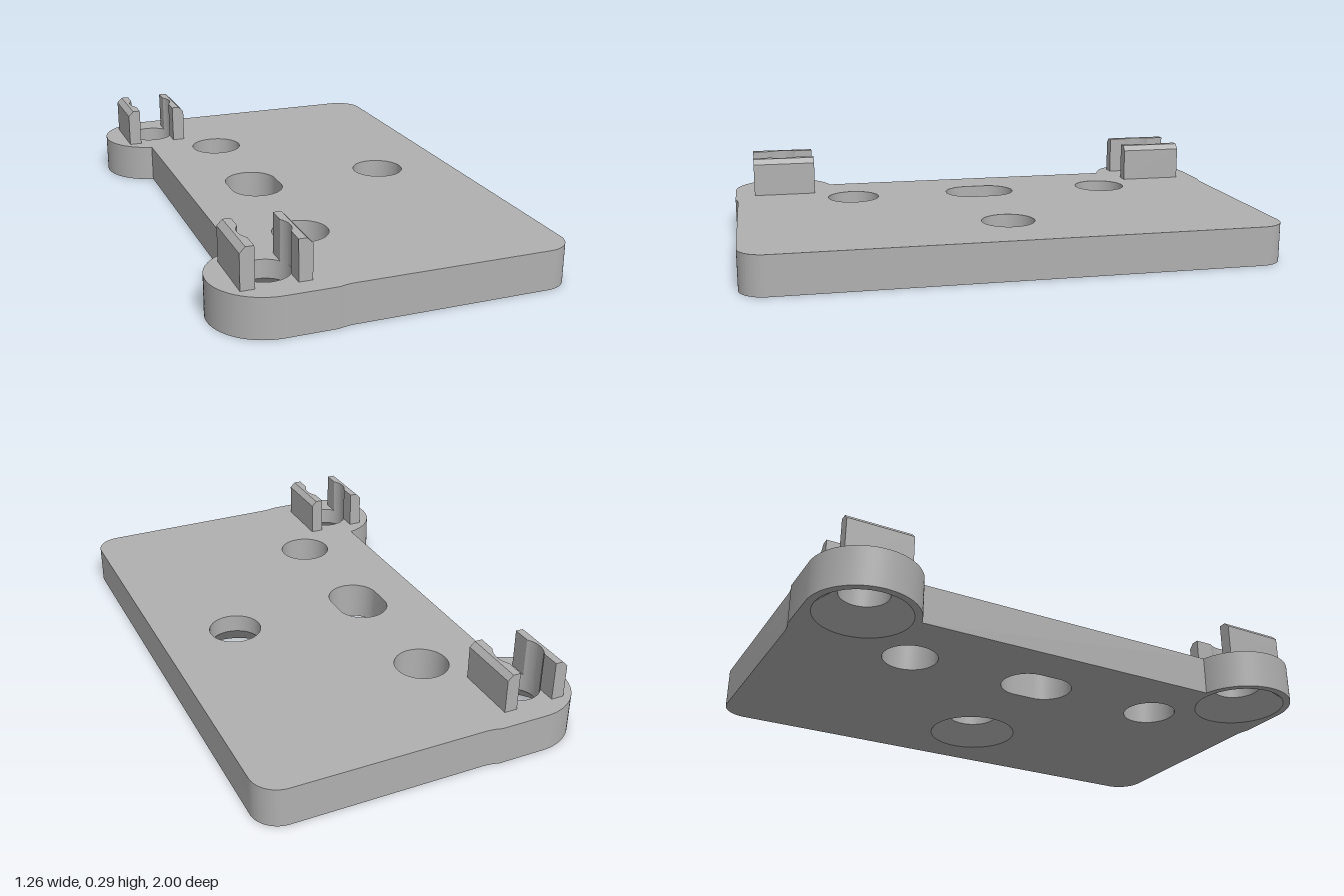
import * as THREE from 'three';
import { toCreasedNormals } from 'three/addons/utils/BufferGeometryUtils.js';

const H = 0.147;         // plate thickness
const CLIP_TOP = 0.295;
const BOSS = { x: -0.432, z: 0.8, r: 0.2, hole: 0.09 };

// Wall through closed outlines stacked in height; counter-clockwise outlines face outward
function loft(rings) {
  const pos = [], n = rings[0].pts.length;
  const put = (ring, i) => { const p = ring.pts[i % n]; pos.push(p.x, ring.y, -p.y); };
  for (let k = 0; k + 1 < rings.length; k++) {
    const a = rings[k], b = rings[k + 1];
    for (let i = 0; i < n; i++) {
      put(a, i); put(a, i + 1); put(b, i + 1);
      put(a, i); put(b, i + 1); put(b, i);
    }
  }
  const geo = new THREE.BufferGeometry();
  geo.setAttribute('position', new THREE.Float32BufferAttribute(pos, 3));
  return toCreasedNormals(geo, 0.5);
}

// Flat face with holes, turned up or down
function cap(pts, holes, y, up) {
  const shape = new THREE.Shape(pts);
  shape.holes = holes.map(h => new THREE.Path(h));
  const geo = new THREE.ShapeGeometry(shape);
  if (up) geo.rotateX(-Math.PI / 2);
  else geo.scale(1, -1, 1).rotateX(Math.PI / 2), flip(geo);
  return geo.translate(0, y, 0);
}

// Reverse the corner order after a mirrored scale
function flip(geo) {
  geo.setIndex(Array.from(geo.index.array).reverse());
  geo.computeVertexNormals();
}

// Points of a path without the repeated closing point
function outline(path, segments) {
  const pts = path.getPoints(segments);
  if (pts[0].distanceTo(pts[pts.length - 1]) < 1e-5) pts.pop();
  return pts;
}

// Round or slotted hole outline; half is the straight half length along z
function holePts(x, y, r, half = 0) {
  const pts = [], n = 48;
  for (let i = 0; i < n; i++) {
    const a = (i + 0.5) / n * Math.PI * 2;
    pts.push(new THREE.Vector2(x + r * Math.cos(a), y + r * Math.sin(a) + Math.sign(Math.sin(a)) * half));
  }
  return pts;
}

function plateOutline() {
  const s = new THREE.Shape(), P = Math.PI, { x, z, r } = BOSS;
  const a = Math.asin(0.043 / r);
  s.moveTo(0.53, -0.99);
  s.absarc(0.53, -0.89, 0.1, -P / 2, 0, false);
  s.absarc(0.53, 0.89, 0.1, 0, P / 2, false);
  s.lineTo(-0.19, 0.99);
  s.quadraticCurveTo(-0.22, 0.99, -0.25, 1);
  s.absarc(x, z, r, P / 2, 1.5 * P - a, false);
  s.absarc(x, -z, r, P / 2 + a, 1.5 * P, false);
  s.lineTo(-0.25, -1);
  s.quadraticCurveTo(-0.22, -0.99, -0.19, -0.99);
  return outline(s, 20);
}

export function createModel() {
  const group = new THREE.Group();
  const grey = new THREE.MeshStandardMaterial({ color: 0xb0b0b0 });
  grey.name = 'grey plastic';
  const add = (parent, name, geo) => {
    const mesh = new THREE.Mesh(geo, grey);
    mesh.name = name;
    parent.add(mesh);
  };

  // Holes: sink is the radius of the countersink on the underside
  const holes = [
    { name: 'frontScrewHole', x: -0.205, y: -0.527, r: 0.102 },
    { name: 'rearScrewHole', x: -0.205, y: 0.527, r: 0.102 },
    { name: 'slotHole', x: -0.205, y: 0, r: 0.101, half: 0.039 },
    { name: 'countersunkHole', x: 0.332, y: 0, r: 0.1, sink: 0.173 },
    { name: 'frontBossHole', x: BOSS.x, y: -BOSS.z, r: BOSS.hole, sink: 0.173 },
    { name: 'rearBossHole', x: BOSS.x, y: BOSS.z, r: BOSS.hole, sink: 0.173 },
  ];
  const upper = holes.map(h => holePts(h.x, h.y, h.r, h.half));
  const lower = holes.map(h => holePts(h.x, h.y, h.sink ?? h.r, h.half));

  // Plate
  const edge = plateOutline();
  add(group, 'plateTop', cap(edge, upper, H, true));
  add(group, 'plateBottom', cap(edge, lower, 0, false));
  add(group, 'plateEdge', loft([{ pts: edge, y: 0 }, { pts: edge, y: H }]));
  holes.forEach((h, i) => {
    const up = upper[i].slice().reverse(), low = lower[i].slice().reverse();
    const rings = [{ pts: low, y: 0 }];
    if (h.sink) rings.push({ pts: up, y: 0.078 });
    rings.push({ pts: up, y: H });
    add(group, h.name, loft(rings));
  });

  // Clip wall: inner face scooped by the hole, outer top edge chamfered
  const inner = 0.073, outer = 0.122, half = 0.123;
  const scoop = Math.acos(inner / BOSS.hole);
  const foot = new THREE.Shape();
  foot.moveTo(inner, -half);
  foot.lineTo(outer, -half);
  foot.lineTo(outer, half);
  foot.lineTo(inner, half);
  foot.absarc(0, 0, BOSS.hole, scoop, -scoop, true);
  const footPts = outline(foot, 16);
  const topPts = footPts.map(p => new THREE.Vector2(Math.min(p.x, outer - 0.02), p.y));
  const wallGeo = loft([
    { pts: footPts, y: H }, { pts: footPts, y: CLIP_TOP - 0.02 }, { pts: topPts, y: CLIP_TOP },
  ]);
  const topGeo = cap(topPts, [], CLIP_TOP, true);

  // Two facing walls on each boss
  for (const z of [-BOSS.z, BOSS.z]) {
    for (const turn of [0, Math.PI]) {
      const clip = new THREE.Group();
      clip.name = (z > 0 ? 'front' : 'rear') + (turn ? 'Right' : 'Left') + 'Clip';
      add(clip, 'clipWall', wallGeo);
      add(clip, 'clipTop', topGeo);
      clip.position.set(BOSS.x, 0, z);
      clip.rotation.y = turn;
      group.add(clip);
    }
  }
  return group;
}
